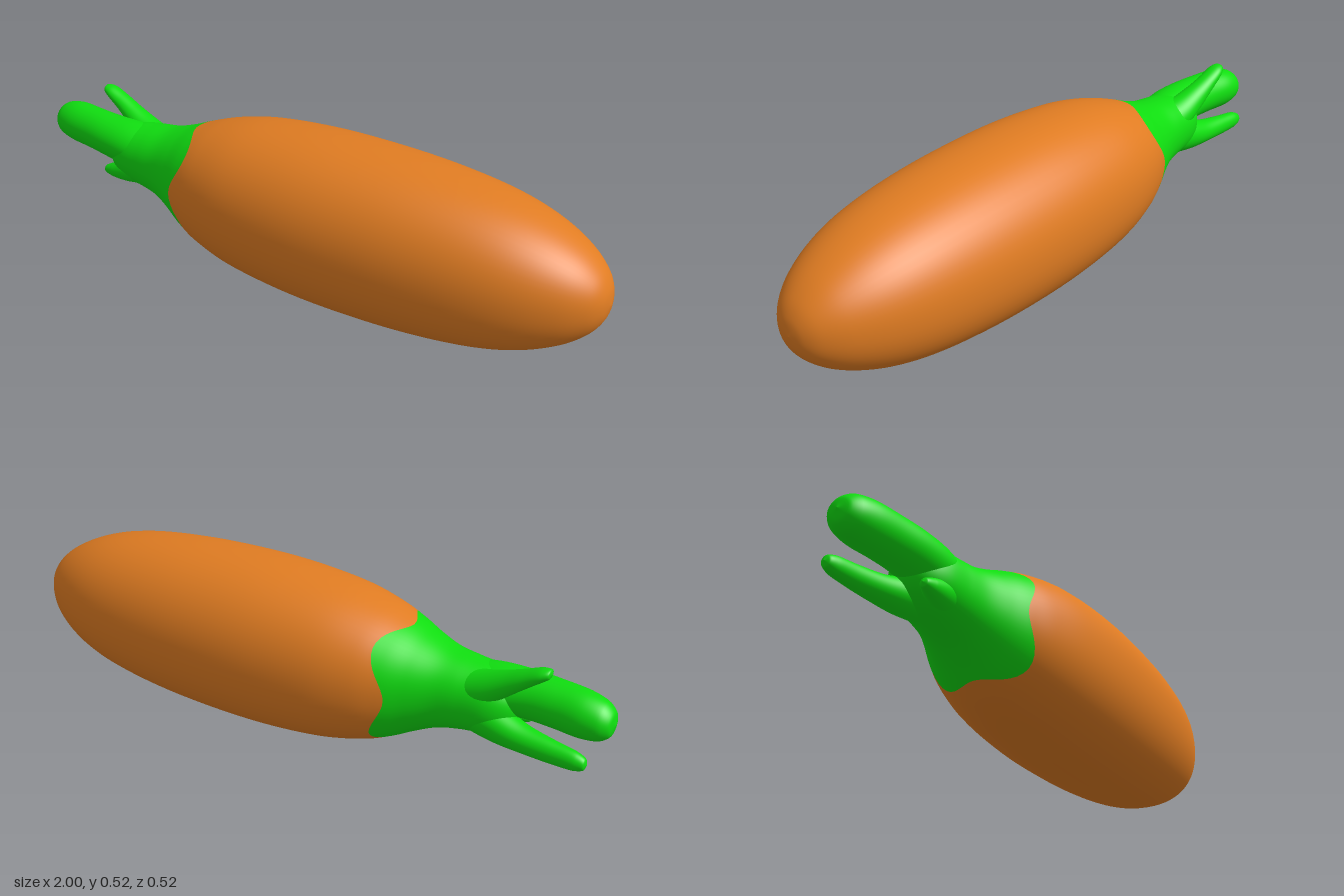
import * as THREE from 'three';

const SEG = 64;

// Closed-ring skin from a rule giving a point for (u, angle), running towards +x
function skin(rule, rows) {
  const pos = [], index = [];
  for (let i = 0; i <= rows; i++) {
    for (let j = 0; j < SEG; j++) pos.push(...rule(i / rows, (j / SEG) * Math.PI * 2));
  }
  for (let i = 0; i < rows; i++) {
    for (let j = 0; j < SEG; j++) {
      const k = (j + 1) % SEG;
      const a = i * SEG + j, b = i * SEG + k, c = a + SEG, d = b + SEG;
      index.push(a, b, c, b, d, c);
    }
  }
  const g = new THREE.BufferGeometry();
  g.setAttribute('position', new THREE.Float32BufferAttribute(pos, 3));
  g.setIndex(index);
  g.computeVertexNormals();
  return g;
}

// Slightly squared circle
function ring(angle, n) {
  const c = Math.cos(angle), s = Math.sin(angle);
  const k = Math.pow(Math.abs(c) ** n + Math.abs(s) ** n, -1 / n);
  return [c * k, s * k];
}

// Leaf shoot from sections [x, y, z, halfHeight, halfDepth], listed from tip to base
function shoot(sections) {
  const centre = new THREE.CatmullRomCurve3(sections.map(([x, y, z]) => new THREE.Vector3(x, y, z)));
  const size = new THREE.SplineCurve(sections.map((s) => new THREE.Vector2(s[3], s[4])));
  return skin((u, a) => {
    const p = centre.getPoint(u), r = size.getPoint(u);
    return [p.x, p.y + Math.max(r.x, 0) * Math.cos(a), p.z + Math.max(r.y, 0) * Math.sin(a)];
  }, 40);
}

export function createModel() {
  const group = new THREE.Group();
  const orange = new THREE.MeshStandardMaterial({ color: 0xe07c22 });
  orange.name = 'root orange';
  const green = new THREE.MeshStandardMaterial({ color: 0x10de10 });
  green.name = 'leaf green';

  const add = (name, geometry, material) => {
    const mesh = new THREE.Mesh(geometry, material);
    mesh.name = name;
    group.add(mesh);
  };

  // Common outline of stem and root: x along the length, y as radius
  const profile = new THREE.SplineCurve([
    [-0.74, 0], [-0.73, 0.04], [-0.7, 0.074], [-0.65, 0.097], [-0.57, 0.108], [-0.5, 0.121],
    [-0.43, 0.148], [-0.36, 0.181], [-0.28, 0.211], [-0.16, 0.239], [0, 0.256], [0.17, 0.262],
    [0.38, 0.257], [0.56, 0.242], [0.7, 0.219], [0.81, 0.186], [0.9, 0.142], [0.96, 0.094],
    [0.99, 0.048], [1, 0],
  ].map((p) => new THREE.Vector2(...p)));

  // Wavy colour border, reaching further along the diagonals
  const border = Array.from({ length: SEG }, (_, j) => {
    const x = -0.38 + 0.055 * Math.sin((j / SEG) * Math.PI * 4) ** 2;
    let lo = 0, hi = 1;
    for (let i = 0; i < 30; i++) {
      const mid = (lo + hi) / 2;
      if (profile.getPoint(mid).x < x) lo = mid; else hi = mid;
    }
    return lo;
  });
  const outline = (u, a) => {
    const p = profile.getPoint(u);
    const r = Math.max(p.y, 0);
    const [c, s] = ring(a, 2.15);
    const lift = 0.013 * THREE.MathUtils.smoothstep(-p.x, 0.3, 0.6);
    return [p.x, 0.262 + lift + r * c, r * s - lift * 0.3];
  };
  const at = (a) => border[Math.round((a / (Math.PI * 2)) * SEG) % SEG];

  add('root', skin((t, a) => outline(at(a) + t * (1 - at(a)), a), 90), orange);
  add('stem', skin((t, a) => outline(t * at(a), a), 60), green);

  // Leaf shoots growing from the stem
  add('largeShoot', shoot([
    [-1, 0.309, -0.018, 0, 0], [-0.992, 0.309, -0.018, 0.033, 0.034], [-0.965, 0.31, -0.016, 0.056, 0.056],
    [-0.91, 0.312, -0.01, 0.067, 0.068], [-0.83, 0.313, 0.002, 0.068, 0.07],
    [-0.74, 0.312, 0.012, 0.069, 0.074], [-0.65, 0.306, 0.01, 0.074, 0.082], [-0.55, 0.29, 0, 0.08, 0.085],
  ]), green);
  add('lowerShoot', shoot([
    [-0.955, 0.203, -0.083, 0, 0], [-0.948, 0.203, -0.082, 0.017, 0.015], [-0.92, 0.204, -0.08, 0.028, 0.024],
    [-0.85, 0.206, -0.072, 0.034, 0.031], [-0.76, 0.212, -0.059, 0.041, 0.042],
    [-0.68, 0.226, -0.045, 0.055, 0.055], [-0.58, 0.25, -0.02, 0.07, 0.07],
  ]), green);
  add('upperShoot', shoot([
    [-0.83, 0.435, -0.07, 0, 0], [-0.825, 0.434, -0.07, 0.013, 0.018], [-0.8, 0.424, -0.07, 0.022, 0.028],
    [-0.75, 0.395, -0.067, 0.031, 0.033], [-0.69, 0.358, -0.058, 0.043, 0.042],
    [-0.62, 0.322, -0.045, 0.055, 0.055], [-0.54, 0.3, -0.02, 0.06, 0.07],
  ]), green);
  add('smallShoot', shoot([
    [-0.74, 0.211, 0.062, 0, 0], [-0.733, 0.211, 0.062, 0.013, 0.013], [-0.7, 0.215, 0.058, 0.026, 0.026],
    [-0.64, 0.227, 0.046, 0.043, 0.042], [-0.55, 0.25, 0.02, 0.06, 0.06],
  ]), green);

  return group;
}
